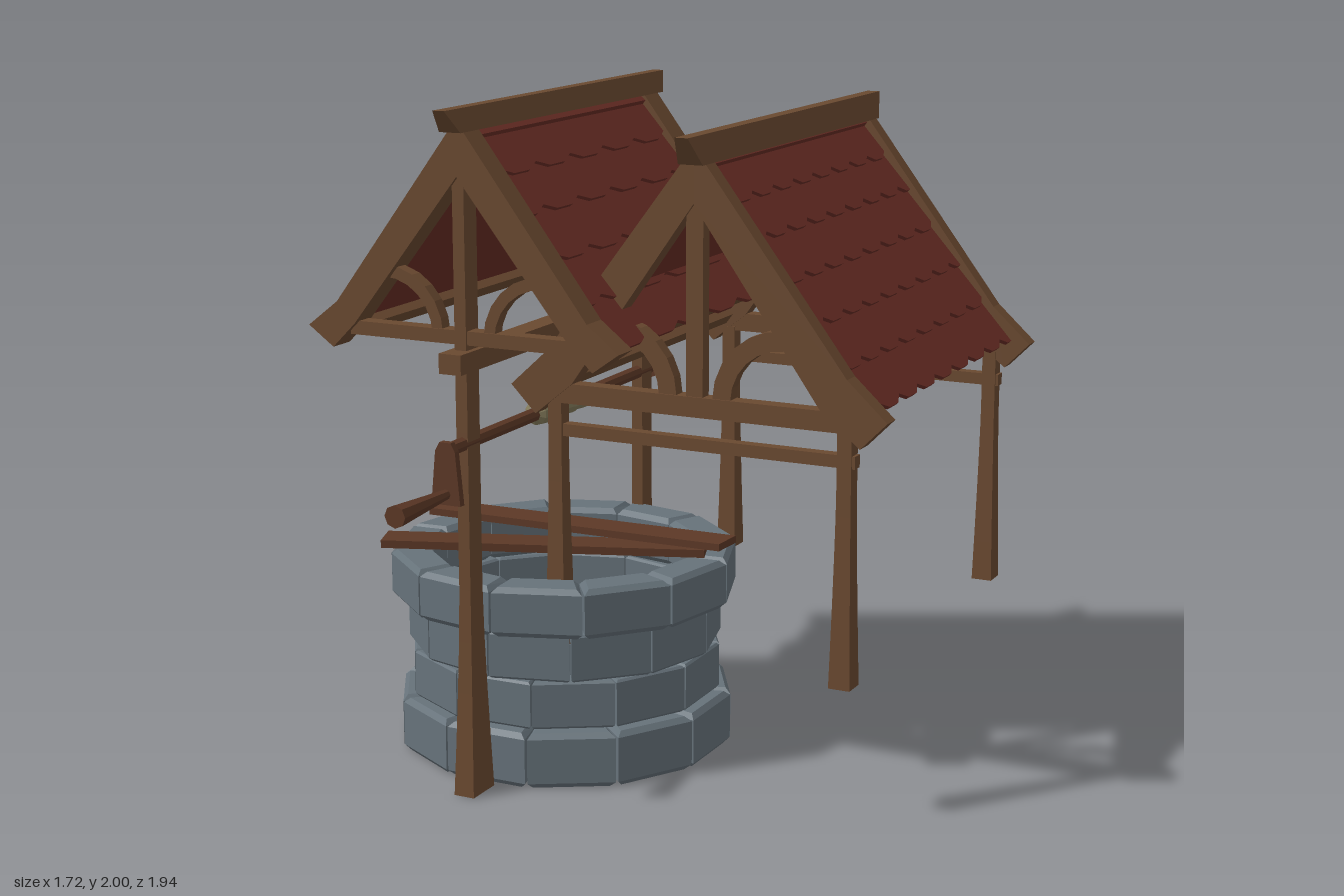
import * as THREE from 'three';

const flat = (name, color) => {
  const m = new THREE.MeshStandardMaterial({ color, flatShading: true });
  m.name = name;
  return m;
};

export function createModel() {
  const wood = flat('wood', 0x6a4930);
  const darkWood = flat('dark wood', 0x5c3826);
  const stone = flat('stone', 0x66727a);
  const tileRed = flat('roof tile', 0x692d25);
  const ropeMat = flat('rope', 0x857c5c);
  const model = new THREE.Group();
  model.name = 'wellWithRoofs';

  const add = (parent, name, geo, mat, x = 0, y = 0, z = 0) => {
    const m = new THREE.Mesh(geo, mat);
    m.name = name;
    m.position.set(x, y, z);
    parent.add(m);
    return m;
  };
  const box = (parent, name, mat, x0, x1, y0, y1, z0, z1) =>
    add(parent, name, new THREE.BoxGeometry(x1 - x0, y1 - y0, z1 - z0), mat, (x0 + x1) / 2, (y0 + y1) / 2, (z0 + z1) / 2);
  const shapeOf = pts => new THREE.Shape(pts.map(p => new THREE.Vector2(p[0], p[1])));
  const extrude = (pts, depth) => new THREE.ExtrudeGeometry(shapeOf(pts), { depth, bevelEnabled: false });

  // Post whose foot widens smoothly
  const post = (name, x, z, y0, y1, w, d, flare, flareHeight) => {
    const h = y1 - y0;
    const g = new THREE.BoxGeometry(w, h, d, 1, 12, 1).translate(0, h / 2, 0);
    const p = g.attributes.position;
    for (let i = 0; i < p.count; i++) {
      const k = 1 + flare * Math.max(0, 1 - p.getY(i) / flareHeight) ** 1.3;
      p.setX(i, p.getX(i) * k);
      p.setZ(i, p.getZ(i) * k);
    }
    add(model, name, g, wood, x, y0, z);
  };

  // Curved brace, rising from the tie and bending outwards to the rafter
  const brace = (parent, s, cx, cy, r, t, z, depth) => {
    const pts = [];
    for (let i = 0; i <= 6; i++) {
      const a = (i / 6) * 1.6;
      pts.push([s * (cx - r * Math.cos(a)), cy + r * Math.sin(a)]);
    }
    for (let i = 6; i >= 0; i--) {
      const a = (i / 6) * 1.6;
      pts.push([s * (cx - (r - t) * Math.cos(a)), cy + (r - t) * Math.sin(a)]);
    }
    add(parent, 'curvedBrace', extrude(pts, depth), wood, 0, 0, z - depth / 2);
  };

  // Ridge beam with a tapered section and ends that lean outwards
  const ridge = (parent, y0, y1, wBottom, wTop, zBottom, zTop) => {
    const g = new THREE.BoxGeometry(1, y1 - y0, 1);
    const p = g.attributes.position;
    for (let i = 0; i < p.count; i++) {
      const top = p.getY(i) > 0;
      p.setX(i, Math.sign(p.getX(i)) * (top ? wTop : wBottom));
      p.setZ(i, (top ? zTop : zBottom)[p.getZ(i) > 0 ? 1 : 0]);
    }
    add(parent, 'ridgeBeam', g, wood, 0, (y0 + y1) / 2, 0);
  };

  // One pitch of the roof, built in a frame whose +x runs down the slope
  const pitch = (parent, s, o) => {
    const side = new THREE.Group(), slope = new THREE.Group();
    side.name = s > 0 ? 'leftPitch' : 'rightPitch';
    slope.name = 'slope';
    const zc = (o.z0 + o.z1) / 2, half = (o.z1 - o.z0) / 2;
    side.position.set(0, o.top, zc);
    side.rotation.y = s > 0 ? 0 : Math.PI;
    slope.rotation.z = -Math.atan(o.slope);
    side.add(slope);
    parent.add(side);
    const len = o.run * Math.hypot(1, o.slope);
    box(slope, 'roofDeck', tileRed, 0, len - 0.03, -0.035, -0.015, -half, half);
    box(slope, 'eaveBatten', wood, len - 0.06, len - 0.02, -0.065, -0.016, -half, half);
    const rowLen = len / o.rows, w = (2 * half) / o.columns;
    for (let r = 0; r < o.rows; r++) {
      const shift = r % 2 ? 0.5 : 0;
      for (let c = 0; c < o.columns + (shift ? 1 : 0); c++) {
        const a = -half + (c - shift) * w, L = rowLen * 1.12, cut = 0.022;
        const pts = [[0, a], [L - cut, a], [L, a + w * 0.28], [L, a + w * 0.72], [L - cut, a + w], [0, a + w]]
          .map(([x, z]) => [x, Math.max(-half, Math.min(half, z))]);
        const g = extrude(pts, 0.012).rotateX(Math.PI / 2).rotateZ(0.08);
        add(slope, 'roofTile', g, tileRed, r * rowLen - rowLen * 0.12 + (r ? 0 : rowLen * 0.12), -0.008, 0);
      }
    }
  };

  // Whole roof: two gable frames, two pitches and the ridge
  const roof = (name, x, o) => {
    const g = new THREE.Group();
    g.name = name;
    g.position.x = x;
    model.add(g);
    for (const [z0, z1] of o.gables) {
      const zm = (z0 + z1) / 2;
      for (const s of [1, -1]) {
        add(g, 'rafter', extrude(o.rafter.map(p => [s * p[0], p[1]]), z1 - z0), wood, 0, 0, z0);
        brace(g, s, ...o.brace, zm, 0.04);
      }
      box(g, 'tieBeam', wood, -o.tie[0], o.tie[0], o.tie[1], o.tie[2], zm - 0.025, zm + 0.025);
      if (o.king) box(g, 'kingPost', wood, -0.026, 0.026, o.tie[2], o.king, zm - 0.02, zm + 0.02);
    }
    for (const s of [1, -1]) pitch(g, s, o);
    ridge(g, ...o.ridge);
  };

  roof('wellRoof', -0.33, {
    gables: [[0.535, 0.62], [-0.58, -0.49]],
    rafter: [[0, 1.967], [0.403, 1.43], [0.5, 1.354], [0.419, 1.296], [0.345, 1.37], [0, 1.81]],
    brace: [0.255, 1.355, 0.19, 0.035],
    tie: [0.37, 1.335, 1.375],
    z0: -0.49, z1: 0.535, top: 1.94, slope: 1.33, run: 0.45, rows: 5, columns: 5,
    ridge: [1.935, 2.0, 0.034, 0.018, [-0.6, 0.65], [-0.635, 0.71]]
  });
  roof('shelterRoof', 0.272, {
    gables: [[0.307, 0.365], [-0.9, -0.845]],
    rafter: [[0, 1.9], [0.462, 1.29], [0.582, 1.18], [0.503, 1.1], [0.385, 1.196], [0, 1.74]],
    brace: [0.27, 1.19, 0.215, 0.055],
    tie: [0.48, 1.138, 1.196], king: 1.78,
    z0: -0.845, z1: 0.307, top: 1.865, slope: 1.31, run: 0.52, rows: 6, columns: 8,
    ridge: [1.85, 1.93, 0.038, 0.02, [-0.92, 0.385], [-0.965, 0.445]]
  });

  // Well posts and the long beam between them
  post('wellPost', -0.333, 0.575, 0, 1.86, 0.037, 0.068, 0.75, 0.6);
  post('wellPost', -0.333, -0.522, 0, 1.86, 0.037, 0.068, 0.75, 0.6);
  box(model, 'longBeam', wood, -0.368, -0.297, 1.262, 1.32, -0.63, 0.67);

  // Shelter posts with a lower rail at each end
  for (const z of [0.331, -0.866]) {
    for (const x of [-0.174, 0.725]) post('shelterPost', x, z, 0.405, 1.15, 0.043, 0.046, 0.5, 0.55);
    box(model, 'lowerRail', wood, -0.15, 0.755, 1.038, 1.074, z - 0.018, z + 0.018);
  }

  // Stone wall: four courses of bevelled blocks
  const well = new THREE.Group();
  well.name = 'stoneWell';
  well.position.set(-0.333, 0, 0.005);
  model.add(well);
  const courses = [
    [0.0, 0.168, 0.52, 15, 0.016], [0.172, 0.316, 0.482, 16, 0.007],
    [0.318, 0.46, 0.482, 0, 0.007], [0.462, 0.612, 0.533, 4, 0.016]
  ];
  for (const [y0, y1, r, offset, b] of courses) {
    for (let i = 0; i < 12; i++) {
      const h = Math.PI / 12, ro = r - b, ri = 0.405 + b, gap = b + 0.002;
      const xo = ro * Math.sin(h) - gap, xi = ri * Math.sin(h) - gap;
      const shape = shapeOf([[-xi, ri * Math.cos(h)], [xi, ri * Math.cos(h)], [xo, ro * Math.cos(h)], [-xo, ro * Math.cos(h)]]);
      const g = new THREE.ExtrudeGeometry(shape, {
        depth: y1 - y0 - 2 * b, bevelEnabled: true, bevelThickness: b, bevelSize: b, bevelSegments: 1
      });
      g.translate(0, 0, b).rotateX(-Math.PI / 2).rotateY(Math.PI + (offset + 15 + i * 30) * Math.PI / 180);
      add(well, 'stoneBlock', g, stone, 0, y0, 0);
    }
  }

  // Loose planks lying over the rim
  const plank = (a, b, w, t) => {
    const A = new THREE.Vector3(...a), B = new THREE.Vector3(...b), d = B.clone().sub(A);
    const m = add(model, 'plank', new THREE.BoxGeometry(d.length(), t, w), darkWood);
    m.position.copy(A).add(B).multiplyScalar(0.5);
    m.rotation.set(0, -Math.atan2(d.z, d.x), Math.atan2(d.y, Math.hypot(d.x, d.z)), 'YXZ');
  };
  plank([-0.82, 0.624, 0.265], [0.11, 0.624, -0.07], 0.11, 0.024);
  plank([-0.84, 0.638, -0.09], [0.195, 0.66, -0.04], 0.11, 0.022);

  // Winch: axle, end cap, crank arm and handle
  const rod = (name, mat, rBack, rFront, z0, z1, y, sides = 8) =>
    add(model, name, new THREE.CylinderGeometry(rFront, rBack, z1 - z0, sides).rotateX(Math.PI / 2), mat, -0.333, y, (z0 + z1) / 2);
  rod('axle', darkWood, 0.021, 0.021, -0.57, 0.69, 1.05);
  rod('axleCap', darkWood, 0.036, 0.036, -0.612, -0.57, 1.05);
  add(model, 'crankArm', extrude([[-0.047, 0.895], [0.047, 0.895], [0.032, 1.05], [0.018, 1.075], [-0.018, 1.075], [-0.032, 1.05]], 0.022),
    darkWood, -0.333, 0, 0.682);
  rod('crankHandle', darkWood, 0.015, 0.033, 0.7, 0.972, 0.926);

  // Rope wound on the axle and hanging into the well
  const coil = [[0.02, -0.125]];
  for (let i = 0; i <= 16; i++) coil.push([0.034 + 0.007 * Math.abs(Math.sin(i * Math.PI / 4 + 0.4)), -0.115 + i * 0.0185]);
  coil.push([0.02, 0.192]);
  const coilGeo = new THREE.LatheGeometry(coil.map(p => new THREE.Vector2(...p)), 10).rotateX(Math.PI / 2);
  add(model, 'ropeCoil', coilGeo, ropeMat, -0.333, 1.052, 0);
  add(model, 'hangingRope', new THREE.CylinderGeometry(0.009, 0.009, 0.79, 6), ropeMat, -0.333, 0.645, 0.03);

  return model;
}
